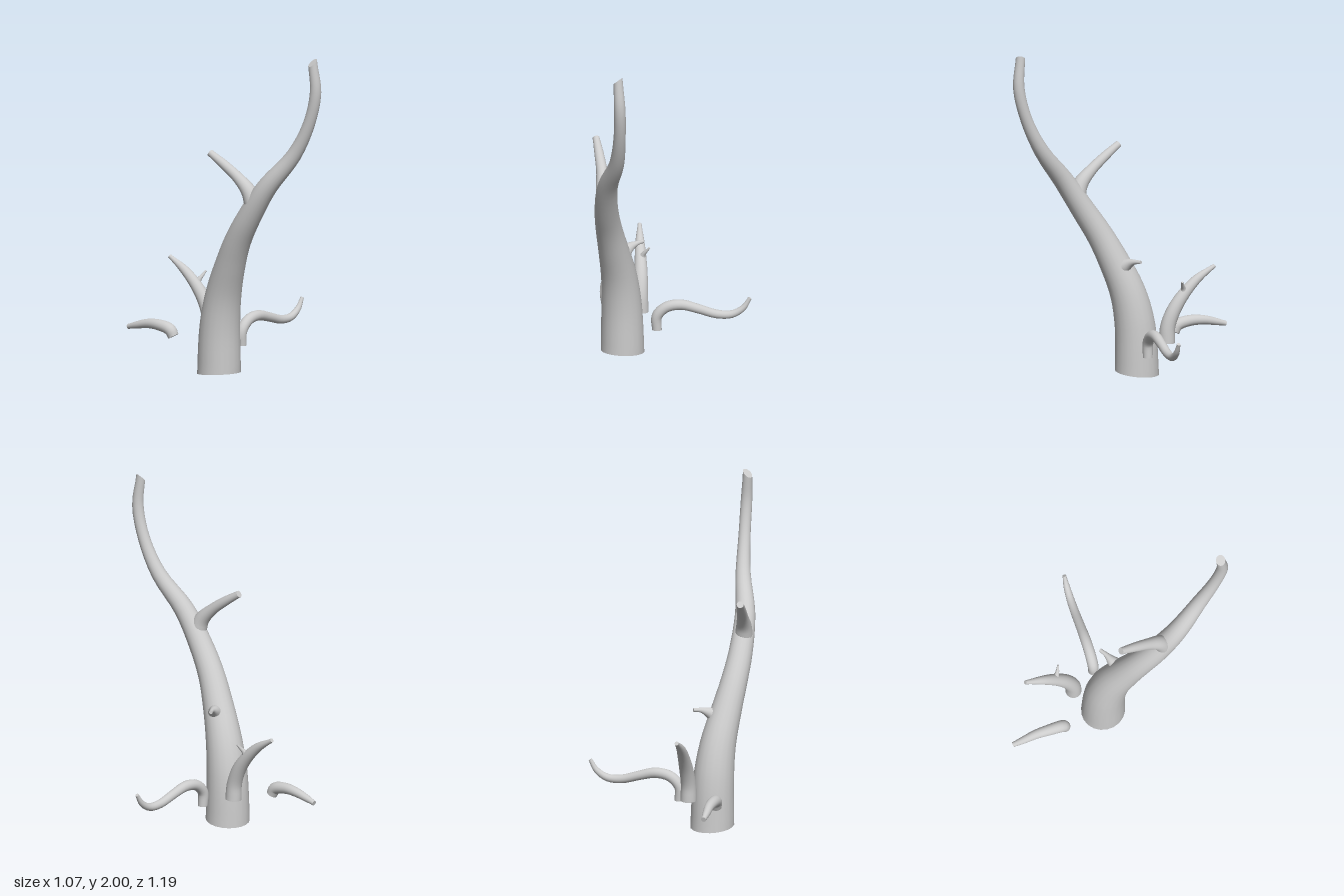
import * as THREE from 'three';

const SIDES = 20;
const STEPS = 4;

// Sweeps a round section along stations [x, y, z, radius]; cuts are optional end-plane normals.
function limb(name, stations, { startCut, endCut } = {}) {
  const path = new THREE.CatmullRomCurve3(stations.map(([x, y, z]) => new THREE.Vector3(x, y, z)));
  const radii = new THREE.SplineCurve(stations.map((s, i) => new THREE.Vector2(i, s[3])));
  const rings = (stations.length - 1) * STEPS;
  const positions = [];
  const index = [];
  const turn = new THREE.Quaternion();
  let lastTangent = path.getTangent(0);
  const side = new THREE.Vector3(0.31, 0.17, 0.93).cross(lastTangent).normalize();

  // Rings, with the frame carried along the path without twist
  for (let i = 0; i <= rings; i++) {
    const t = i / rings;
    const centre = path.getPoint(t);
    const tangent = path.getTangent(t);
    const radius = radii.getPoint(t).y;
    side.applyQuaternion(turn.setFromUnitVectors(lastTangent, tangent));
    lastTangent = tangent;
    const up = tangent.clone().cross(side);
    const cut = i === 0 ? startCut : i === rings ? endCut : null;
    for (let j = 0; j < SIDES; j++) {
      const a = (j / SIDES) * Math.PI * 2;
      const offset = side.clone().multiplyScalar(Math.cos(a) * radius)
        .addScaledVector(up, Math.sin(a) * radius);
      if (cut) offset.addScaledVector(tangent, -offset.dot(cut) / tangent.dot(cut));
      positions.push(...offset.add(centre).toArray());
    }
  }
  for (let i = 0; i < rings; i++) {
    for (let j = 0; j < SIDES; j++) {
      const k = (j + 1) % SIDES;
      const a = i * SIDES + j, b = i * SIDES + k;
      const c = a + SIDES, d = b + SIDES;
      index.push(a, b, d, a, d, c);
    }
  }

  // Flat end caps on their own vertices, so the rim stays sharp
  for (const ring of [0, rings]) {
    const first = positions.length / 3;
    positions.push(...positions.slice(ring * SIDES * 3, (ring + 1) * SIDES * 3));
    for (let j = 1; j < SIDES - 1; j++) {
      if (ring) index.push(first, first + j, first + j + 1);
      else index.push(first, first + j + 1, first + j);
    }
  }

  const geometry = new THREE.BufferGeometry();
  geometry.setAttribute('position', new THREE.Float32BufferAttribute(positions, 3));
  geometry.setIndex(index);
  geometry.computeVertexNormals();
  const mesh = new THREE.Mesh(geometry, new THREE.MeshStandardMaterial({ color: 0xcccccc }));
  mesh.name = name;
  return mesh;
}

export function createModel() {
  const tree = new THREE.Group();
  tree.name = 'deadTree';

  // Leaning trunk, tapering into a bent, obliquely broken top
  tree.add(limb('trunk', [
    [-0.155, 0.015, -0.105, 0.13],
    [-0.155, 0.3, -0.093, 0.121],
    [-0.15, 0.5, -0.05, 0.107],
    [-0.142, 0.7, 0.037, 0.09],
    [-0.13, 0.85, 0.115, 0.079],
    [-0.1, 1.0, 0.205, 0.071],
    [-0.033, 1.2, 0.32, 0.06],
    [0.087, 1.4, 0.435, 0.045],
    [0.15, 1.6, 0.517, 0.036],
    [0.174, 1.8, 0.561, 0.034],
    [0.158, 1.975, 0.553, 0.028],
  ], { startCut: new THREE.Vector3(0, 1, -0.1), endCut: new THREE.Vector3(-0.85, 1, 0) }));

  // Side branch and short twig growing from the trunk
  tree.add(limb('upperBranch', [
    [-0.085, 1.07, 0.25, 0.055],
    [-0.108, 1.16, 0.226, 0.046],
    [-0.15, 1.235, 0.168, 0.034],
    [-0.21, 1.31, 0.09, 0.028],
    [-0.268, 1.372, 0.016, 0.021],
  ]));
  tree.add(limb('trunkTwig', [
    [-0.11, 0.66, -0.02, 0.05],
    [-0.085, 0.69, -0.065, 0.03],
    [-0.06, 0.705, -0.1, 0.015],
    [-0.037, 0.71, -0.14, 0.011],
  ]));

  // Long wavy branch, detached on the left
  const wave = [
    [0.03, 0.15, 0.029], [0.03, 0.235, 0.032], [0.08, 0.292, 0.032], [0.16, 0.308, 0.031],
    [0.25, 0.284, 0.028], [0.35, 0.252, 0.026], [0.43, 0.253, 0.023], [0.49, 0.293, 0.018],
    [0.525, 0.355, 0.011],
  ];
  tree.add(limb('leftBranch', wave.map(([x, y, r]) => [x, y, -0.185 - (x - 0.02) * 0.48, r])));

  // Rising branch at the back with its own twig
  tree.add(limb('backBranch', [
    [-0.128, 0.205, -0.285, 0.048],
    [-0.132, 0.3, -0.29, 0.045],
    [-0.148, 0.4, -0.325, 0.042],
    [-0.178, 0.49, -0.38, 0.036],
    [-0.222, 0.575, -0.455, 0.027],
    [-0.275, 0.645, -0.553, 0.012],
  ]));
  tree.add(limb('backTwig', [
    [-0.175, 0.48, -0.385, 0.026],
    [-0.163, 0.525, -0.381, 0.016],
    [-0.142, 0.55, -0.378, 0.01],
    [-0.118, 0.577, -0.378, 0.006],
  ]));

  // Short arched branch, detached on the right
  tree.add(limb('rightBranch', [
    [-0.363, 0.215, -0.302, 0.033],
    [-0.376, 0.252, -0.318, 0.036],
    [-0.415, 0.272, -0.385, 0.033],
    [-0.455, 0.27, -0.465, 0.028],
    [-0.495, 0.252, -0.535, 0.022],
    [-0.525, 0.235, -0.592, 0.015],
  ]));

  return tree;
}
